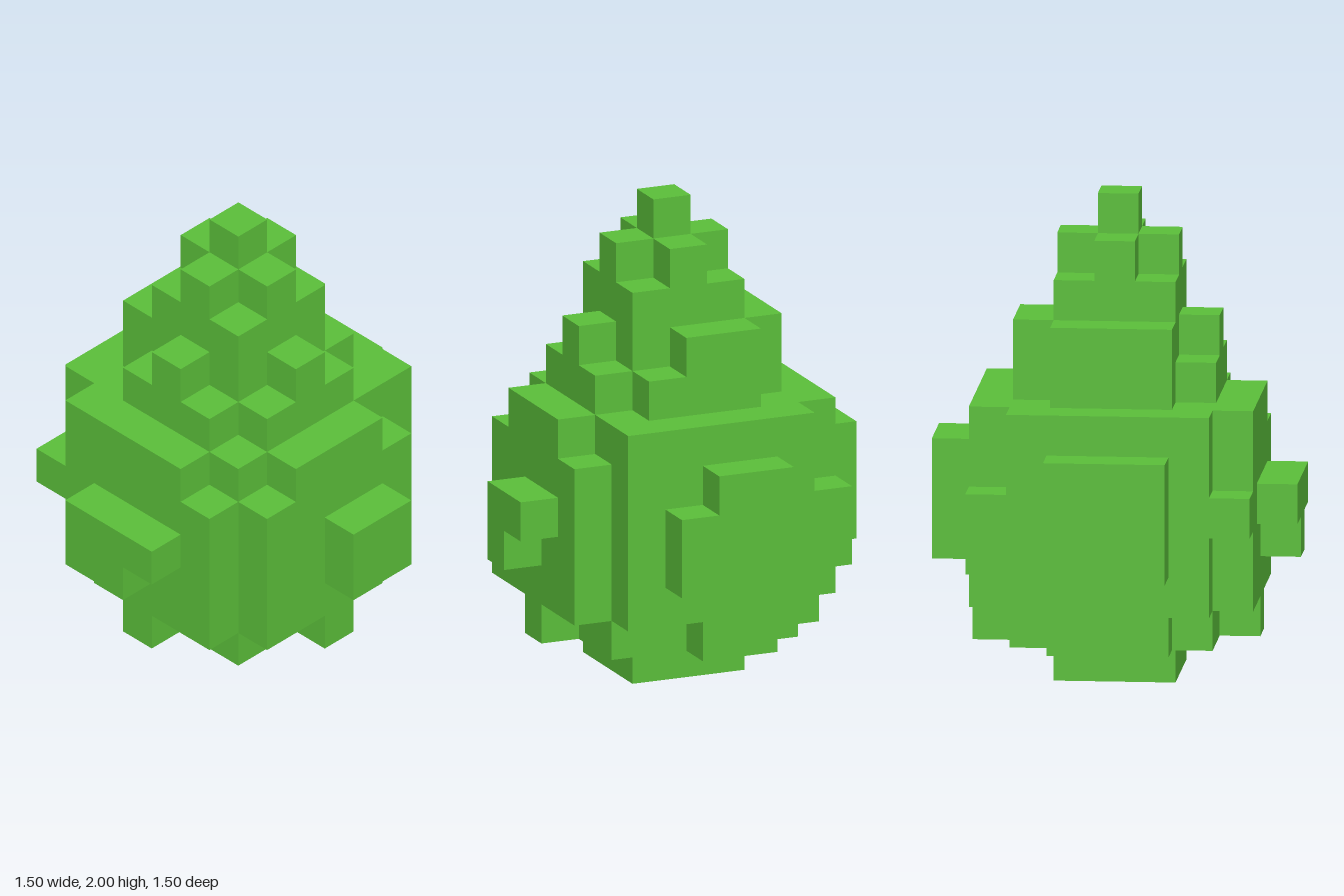
import * as THREE from 'three';

const U = 1 / 6; // size of one block

export function createModel() {
  const group = new THREE.Group();
  group.name = 'blockyBush';
  const leafGreen = new THREE.MeshStandardMaterial({ color: 0x5bbf3a });
  leafGreen.name = 'leafGreen';

  // Box covering an inclusive range of block cells
  const block = (name, x0, x1, y0, y1, z0, z1) => {
    const w = x1 - x0 + 1, h = y1 - y0 + 1, d = z1 - z0 + 1;
    const mesh = new THREE.Mesh(new THREE.BoxGeometry(w * U, h * U, d * U), leafGreen);
    mesh.position.set((x0 + x1) / 2 * U, (y0 + h / 2) * U, (z0 + z1) / 2 * U);
    mesh.name = name;
    group.add(mesh);
  };

  // Foot and lower ring
  block('foot', -1, 1, 0, 0, -1, 1);
  block('lowerRing', -2, 2, 1, 1, -2, 2);
  block('lowerRingFront', 0, 0, 1, 1, 3, 3);
  block('lowerRingBack', -1, 0, 1, 1, -3, -3);
  block('lowerRingLeft', 3, 3, 1, 1, 0, 0);
  block('lowerRingRight', -3, -3, 1, 1, -1, 1);

  // Main body with its side slabs
  block('body', -2, 2, 2, 6, -2, 2);
  block('bodyFront', -2, 2, 2, 5, 3, 3);
  block('bodyFrontRim', -2, 1, 6, 6, 3, 3);
  block('bodyBack', -2, 2, 2, 6, -3, -3);
  block('bodyLeft', 3, 3, 2, 5, -2, 2);
  block('bodyLeftRim', 3, 3, 6, 6, -1, 1);
  block('bodyRight', -3, -3, 2, 6, -2, 2);
  block('frontCornerTuft', -3, -3, 4, 4, 3, 3);
  block('backCornerTuft', -3, -3, 3, 4, -3, -3);

  // Outer tufts on the four sides
  block('frontTuft', -1, 1, 4, 4, 4, 4);
  block('frontTuftStem', 0, 0, 3, 3, 4, 4);
  block('leftTuft', 4, 4, 4, 4, -1, 0);
  block('leftTuftStem', 4, 4, 3, 3, 0, 0);
  block('rightTuft', -4, -4, 3, 5, -1, 1);
  block('backTuft', -1, 1, 3, 4, -4, -4);
  block('backTuftTop', -1, 0, 5, 5, -4, -4);

  // Upper tier around the spire
  block('spire', -1, 1, 7, 9, -1, 1);
  block('upperFront', -1, 1, 7, 7, 2, 2);
  block('upperFrontKnob', 0, 0, 8, 8, 2, 2);
  block('upperLeft', 2, 2, 7, 7, -1, 1);
  block('upperLeftKnob', 2, 2, 8, 8, 0, 0);
  block('upperRight', -2, -2, 7, 8, -1, 1);
  block('upperBack', -1, 1, 7, 7, -2, -2);
  block('upperBackKnob', -1, 0, 8, 8, -2, -2);

  // Cross-shaped crown and tip
  block('crownAcross', -1, 1, 10, 10, 0, 0);
  for (const s of [-1, 1]) block('crownArm', 0, 0, 10, 10, s, s);
  block('tip', 0, 0, 11, 11, 0, 0);

  return group;
}
